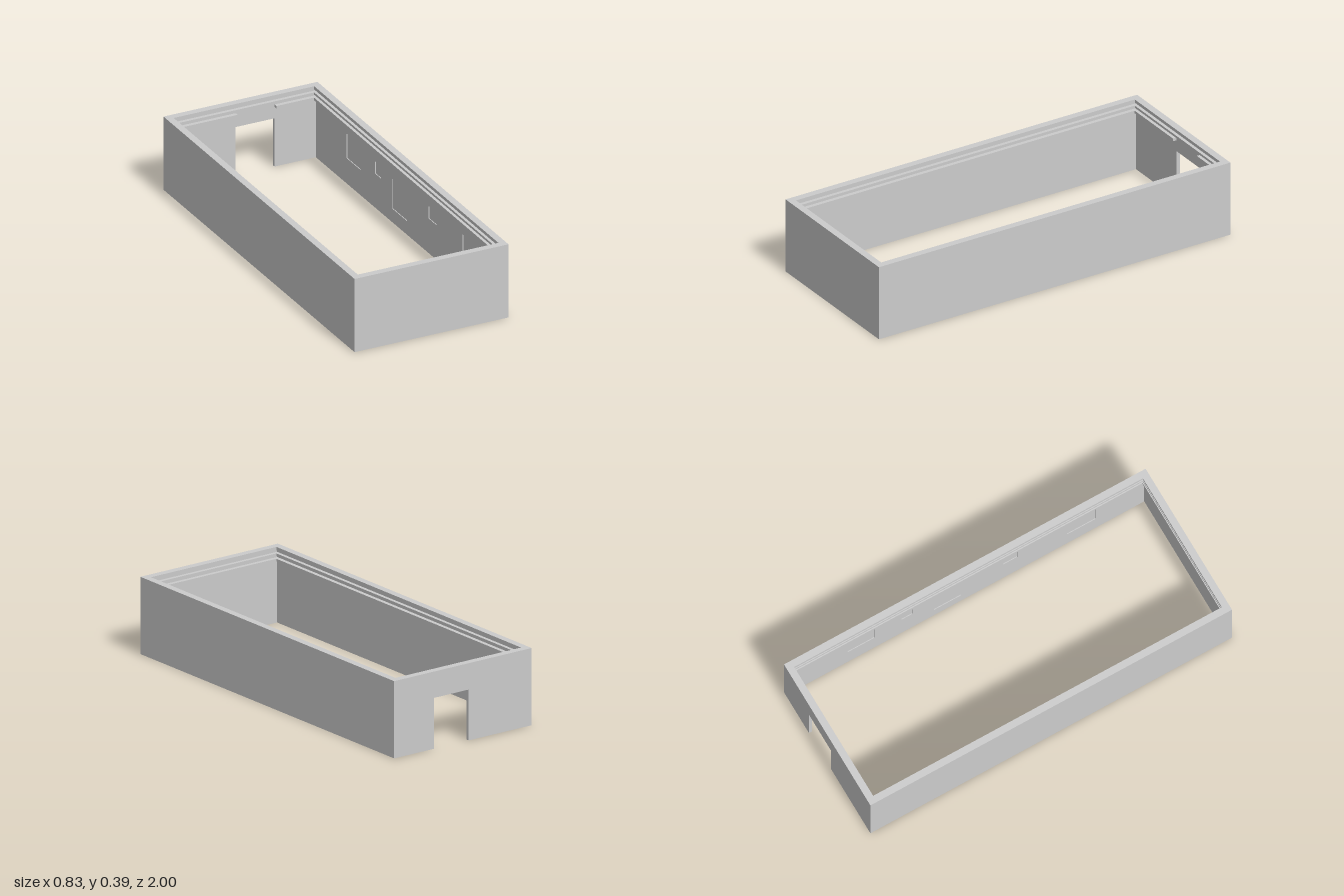
import * as THREE from 'three';

const W = 0.415, L = 1, H = 0.39;   // half width, half length, height
const WALL = 0.018;                 // thin lower wall
const DOOR = { x0: -0.035, x1: 0.175, h: 0.257 };
const mat = new THREE.MeshStandardMaterial({ color: 0xcccccc, flatShading: true });

const poly = (pts, Type = THREE.Shape) => new Type(pts.map(([x, y]) => new THREE.Vector2(x, y)));
const extrude = (shape, depth) => new THREE.ExtrudeGeometry(shape, { depth, bevelEnabled: false });

export function createModel() {
  const group = new THREE.Group();
  const add = (name, geometry, x = 0, y = 0, z = 0) => {
    const mesh = new THREE.Mesh(geometry, mat);
    mesh.name = name;
    mesh.position.set(x, y, z);
    group.add(mesh);
  };

  // Rectangular ring between two insets, optionally cut back above the doorway
  const ring = (name, outer, inner, y0, y1, notched = false) => {
    const rect = (d) => [[-W + d, -L + d], [W - d, -L + d], [W - d, L - d], [-W + d, L - d]];
    const hole = rect(inner);
    if (notched) {
      const zi = L - inner, zn = L - WALL;
      hole.splice(3, 0, [DOOR.x1, zi], [DOOR.x1, zn], [DOOR.x0, zn], [DOOR.x0, zi]);
    }
    const shape = poly(rect(outer));
    shape.holes.push(poly(hole, THREE.Path));
    add(name, extrude(shape, y1 - y0).rotateX(-Math.PI / 2), 0, y0);
  };

  // Stepped upper edge: rim, thin rib between two grooves, wider ledge
  const rimY = H - 0.017;
  ring('topRim', 0, 0.036, rimY, H);
  ring('grooveRib', 0.01, 0.036, 0.345, 0.357);
  ring('ledge', 0.01, 0.038, 0.317, 0.331, true);

  // Front wall and plain side wall
  add('frontWall', new THREE.BoxGeometry(2 * W, rimY, WALL), 0, rimY / 2, L - WALL / 2);
  add('rightWall', new THREE.BoxGeometry(WALL, rimY, 2 * (L - WALL)), -W + WALL / 2, rimY / 2, 0);

  // Back wall with the doorway open at the bottom
  const back = poly([
    [-W, 0], [DOOR.x0, 0], [DOOR.x0, DOOR.h], [DOOR.x1, DOOR.h], [DOOR.x1, 0],
    [W, 0], [W, rimY], [-W, rimY],
  ]);
  add('backWall', extrude(back, WALL), 0, 0, -L);

  // Left wall: outer skin and an inner lining with shallow recesses
  const skin = WALL - 0.004;
  add('leftWall', new THREE.BoxGeometry(skin, rimY, 2 * (L - WALL)), W - skin / 2, rimY / 2, 0);
  const e = L - WALL;
  const lining = poly([[-e, 0], [e, 0], [e, rimY], [-e, rimY]]);
  const recesses = [ // z start, top, length, height
    [-0.66, 0.265, 0.15, 0.13], [-0.36, 0.247, 0.06, 0.065], [-0.18, 0.233, 0.15, 0.16],
    [0.2, 0.25, 0.08, 0.065], [0.555, 0.253, 0.16, 0.13],
  ];
  for (const [z, top, len, h] of recesses) {
    lining.holes.push(poly([[z, top - h], [z + len, top - h], [z + len, top], [z, top]], THREE.Path));
  }
  add('leftLining', extrude(lining, WALL - skin).rotateY(-Math.PI / 2), W - skin);

  return group;
}
